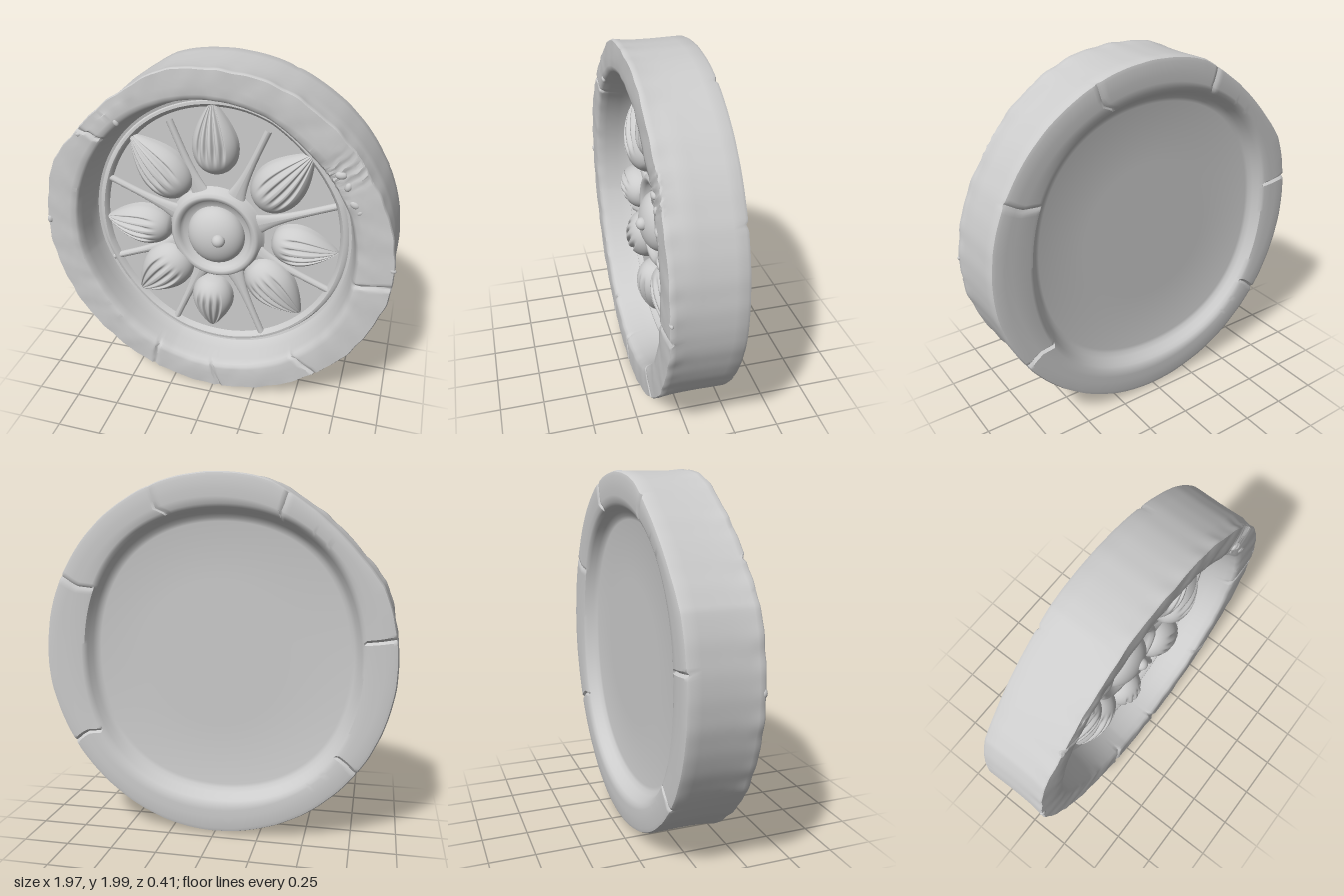
import * as THREE from 'three';
import { toCreasedNormals } from 'three/addons/utils/BufferGeometryUtils.js';

const FLOOR = -0.015; // z of the carved panel
const CX = -0.02, CY = 0.97; // centre of the rosette

// periodic wobble around the wheel: broad waves and fine nicks
const waves = (a, s) => 0.6 * Math.sin(3 * a + s) + 0.4 * Math.sin(7 * a + 2.1 * s);
const nicks = (a, s) =>
  0.4 * Math.sin(13 * a + 3.7 * s) + 0.35 * Math.sin(29 * a + s) + 0.25 * Math.sin(47 * a + 5 * s);

// 0..1 bump of half-width w around angle c
const bump = (a, c, w) => {
  const d = Math.atan2(Math.sin(a - c), Math.cos(a - c)) / w;
  return Math.max(0, 1 - d * d);
};

export function createModel() {
  const group = new THREE.Group();
  const mat = new THREE.MeshStandardMaterial({ color: 0xcccccc, roughness: 0.85 });
  const thin = new THREE.MeshStandardMaterial({ color: 0xcccccc, roughness: 0.85, side: THREE.DoubleSide });
  const add = (name, geo, x = 0, y = 0, z = 0, m = mat) => {
    const mesh = new THREE.Mesh(geo, m);
    mesh.name = name;
    mesh.position.set(x, y, z);
    group.add(mesh);
    return mesh;
  };

  // worn stone disc: [radius, z] from back centre, round the rim, to front centre
  const profile = [
    [0, -0.115], [0.4, -0.115], [0.725, -0.115], [0.745, -0.12], [0.765, -0.14], [0.785, -0.17],
    [0.798, -0.188], [0.815, -0.197], [0.86, -0.2], [0.9, -0.2], [0.955, -0.2], [0.973, -0.195], [0.98, -0.18],
    [0.979, -0.12], [0.977, -0.04], [0.977, 0.04], [0.979, 0.11], [0.983, 0.16], [0.986, 0.183],
    [0.98, 0.192], [0.94, 0.194], [0.89, 0.195], [0.845, 0.194], [0.82, 0.191], [0.807, 0.178],
    [0.797, 0.14], [0.782, 0.07], [0.769, 0.02], [0.76, 0.004], [0.745, 0.0], [0.737, 0.012],
    [0.722, 0.014], [0.71, 0.004], [0.7, FLOOR], [0.5, FLOOR], [0.25, FLOOR], [0, FLOOR],
  ].map(([r, z]) => new THREE.Vector2(r, z));
  const disc = new THREE.LatheGeometry(profile, 400);
  disc.rotateX(Math.PI / 2);
  const frontCracks = [2.44, -0.11, -0.9, -1.98, -1.55];
  const backCracks = [0.45, 2.0, 1.2, -0.55, -2.5, 3.0];
  const pos = disc.attributes.position;
  for (let i = 0; i < pos.count; i++) {
    let x = pos.getX(i), y = pos.getY(i), z = pos.getZ(i);
    const r = Math.hypot(x, y), a = Math.atan2(y, x);
    let k = 1, oval = 0, shift = 0;
    if (r > 0.93) { // worn outline with ragged front edge
      k += nicks(a, 1) * (z > 0.15 ? 0.006 : 0.0015);
      k -= 0.04 * bump(a, 2.3, 0.42) + 0.012 * bump(a, -0.75, 0.6);
      if (z > 0.15) k -= 0.02 * bump(a, 0.6, 0.5);
      oval = 0.008;
    } else if (r > 0.68 && z > -0.05) { // front recess, taller than wide
      k += 0.003 * waves(a, 2);
      if (r < 0.83) k -= 0.02 * bump(a, 0.75, 0.4) + 0.015 * bump(a, -2.4, 0.5);
      oval = r < 0.74 ? 0.034 : r < 0.83 ? 0.026 : 0.015;
      shift = -0.008;
    } else if (r > 0.68 && r < 0.83) { // back recess, squarish and off centre
      k -= 0.016 * Math.cos(4 * a) - 0.005;
      oval = 0.022;
      shift = -0.025;
    }
    x = x * k * (1 - oval) + shift;
    y *= k * (1 + oval);
    if (r > 0.8) {
      if (z > 0.17) {
        z += 0.003 * nicks(a, r * 9);
        for (const c of frontCracks) z -= 0.014 * bump(a, c + (r - 0.9) * 0.25, 0.016);
        z -= 0.012 * bump(a, 0.65, 0.13) * Math.abs(Math.sin(a * 60 + r * 50));
      } else if (z < -0.17) {
        z += 0.006 * Math.sin(2 * a + 1);
        for (const c of backCracks) z += 0.014 * bump(a, c, 0.012);
      }
    }
    pos.setXYZ(i, x, y, z);
  }
  add('stoneDisc', toCreasedNormals(disc, 0.75), 0, 1, 0);

  // petals: plump almond shapes with ribs running to the tip, [baseX, baseY, tipX, tipY, halfWidth]
  const petals = [
    [-0.02, 1.35, -0.05, 1.76, 0.13], [0.21, 1.19, 0.5, 1.53, 0.14],
    [0.29, 0.98, 0.67, 0.96, 0.125], [0.18, 0.82, 0.48, 0.51, 0.14],
    [-0.05, 0.68, -0.05, 0.31, 0.125], [-0.21, 0.83, -0.51, 0.5, 0.145],
    [-0.29, 0.97, -0.7, 0.98, 0.125], [-0.2, 1.2, -0.52, 1.52, 0.14],
  ];
  const petalGeometry = (length, halfWidth) => {
    const geo = new THREE.PlaneGeometry(1, 1, 56, 36);
    const p = geo.attributes.position;
    for (let i = 0; i < p.count; i++) {
      const v = p.getX(i) * 2, u = p.getY(i) + 0.5;
      const swell = Math.max(0, Math.sin(Math.PI * Math.pow(u, 0.72)));
      const w = halfWidth * Math.pow(swell, u < 0.38 ? 0.6 : 0.85);
      const along = Math.pow(swell, 0.6);
      let h = 0.13 * Math.sqrt(Math.max(0, 1 - v * v)) * along;
      // seed-like ribs divided by narrow grooves
      const reach = THREE.MathUtils.smoothstep(u, 0.15, 0.45) * along;
      for (const g of [-0.5, -0.17, 0.17, 0.5])
        h -= 0.022 * reach * Math.max(0, 1 - Math.pow((v - g) / 0.1, 2));
      p.setXYZ(i, w * v, u * length, Math.max(h, -0.01));
    }
    geo.computeVertexNormals();
    return geo;
  };
  petals.forEach(([bx, by, tx, ty, w], i) => {
    const petal = add('petal' + (i + 1), petalGeometry(Math.hypot(tx - bx, ty - by), w),
      bx, by, FLOOR - 0.003, thin);
    petal.rotation.z = Math.atan2(ty - by, tx - bx) - Math.PI / 2;
  });

  // ridges between the petals, flaring where they meet the hub
  for (let i = 0; i < 8; i++) {
    const a = (i + 0.5) * Math.PI / 4;
    const geo = new THREE.CylinderGeometry(0.02, 0.02, 0.46, 16, 20, true);
    const p = geo.attributes.position;
    for (let j = 0; j < p.count; j++) {
      const t = (p.getY(j) + 0.23) / 0.46;
      p.setX(j, p.getX(j) * (1 + 2 * Math.pow(1 - t, 4)));
    }
    geo.computeVertexNormals();
    const ridge = add('dividingRidge' + (i + 1), geo,
      CX + Math.cos(a) * 0.48, CY + Math.sin(a) * 0.48, FLOOR + 0.003);
    ridge.rotation.z = a - Math.PI / 2;
  }

  // hub: raised ring, domed boss and small nub
  const hub = new THREE.LatheGeometry([
    [0.285, -0.005], [0.268, 0.012], [0.255, 0.042], [0.24, 0.055], [0.222, 0.052],
    [0.208, 0.035], [0.195, 0.012], [0.16, 0.005],
  ].map(([r, z]) => new THREE.Vector2(r, z)), 96);
  hub.rotateX(Math.PI / 2);
  add('hubRing', hub, CX - 0.01, CY, FLOOR, thin).scale.y = 1.04;

  const boss = new THREE.SphereGeometry(0.168, 48, 24, 0, Math.PI * 2, 0, Math.PI / 2);
  boss.rotateX(Math.PI / 2);
  add('hubBoss', boss, CX - 0.01, CY - 0.01, FLOOR).scale.set(1, 1.07, 0.68);
  add('hubNub', new THREE.SphereGeometry(0.038, 24, 16), 0.01, 0.98, FLOOR + 0.105);

  // small chips and crumbs left on the rim
  const crumbs = [[0.66, 1.52, 0.03], [0.7, 1.46, 0.025], [0.74, 1.37, 0.03], [0.77, 1.33, 0.022],
    [-0.51, 1.66, 0.022], [-0.73, 1.57, 0.02], [-0.965, 1.02, 0.025], [0.965, 1.02, 0.02]];
  crumbs.forEach(([x, y, s], i) => {
    const crumb = add('crumb' + (i + 1), new THREE.IcosahedronGeometry(s, 2), x, y, 0.185);
    crumb.scale.set(1, 0.7, 0.6);
    crumb.rotation.z = i * 1.3;
  });
  return group;
}
